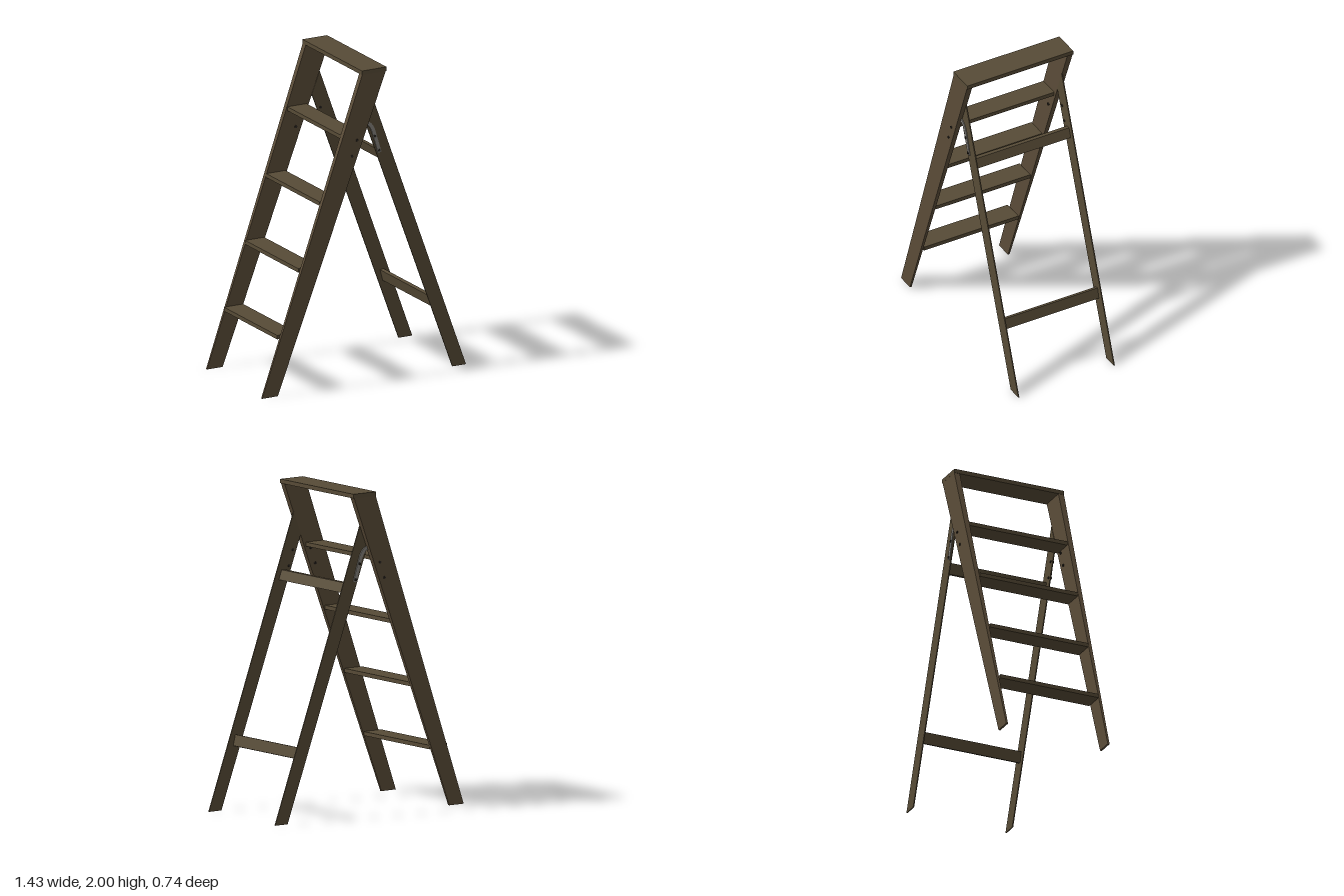
import * as THREE from 'three';

const wood = new THREE.MeshStandardMaterial({ color: 0x5b4c38 });
wood.name = 'brown wood';
const paleWood = new THREE.MeshStandardMaterial({ color: 0x574b36 });
paleWood.name = 'olive wood';
const steel = new THREE.MeshStandardMaterial({ color: 0x85827c });
steel.name = 'grey steel';
const iron = new THREE.MeshStandardMaterial({ color: 0x2c2721 });
iron.name = 'dark iron';

// Board with an outline in x-y, spanning z from near(y) to far(y)
function board(name, points, near, far, material) {
  const shape = new THREE.Shape(points.map(([x, y]) => new THREE.Vector2(x, y)));
  const g = new THREE.ExtrudeGeometry(shape, { depth: 1, bevelEnabled: false });
  const p = g.attributes.position;
  for (let i = 0; i < p.count; i++) {
    p.setZ(i, p.getZ(i) < 0.5 ? near(p.getY(i)) : far(p.getY(i)));
  }
  g.computeVertexNormals();
  const mesh = new THREE.Mesh(g, material);
  mesh.name = name;
  return mesh;
}

// Board on one side of the ladder; inner and outer are distances from the middle
function sideBoard(name, points, side, inner, outer, material) {
  return side > 0
    ? board(name, points, inner, outer, material)
    : board(name, points, y => -outer(y), y => -inner(y), material);
}

function box(name, x0, x1, y0, y1, halfZ, material) {
  const mesh = new THREE.Mesh(new THREE.BoxGeometry(x1 - x0, y1 - y0, halfZ * 2), material);
  mesh.position.set((x0 + x1) / 2, (y0 + y1) / 2, 0);
  mesh.name = name;
  return mesh;
}

// Curved strip outline around a centre line
function stripOutline(points, width) {
  const curve = new THREE.CatmullRomCurve3(points.map(([x, y]) => new THREE.Vector3(x, y, 0)));
  const left = [], right = [];
  for (let i = 0; i <= 24; i++) {
    const c = curve.getPoint(i / 24), t = curve.getTangent(i / 24);
    left.push([c.x - t.y * width / 2, c.y + t.x * width / 2]);
    right.unshift([c.x + t.y * width / 2, c.y - t.x * width / 2]);
  }
  return left.concat(right);
}

export function createModel() {
  const ladder = new THREE.Group();
  ladder.name = 'stepladder';

  // Top cap
  ladder.add(box('topCap', -0.033, 0.14, 1.974, 2, 0.372, paleWood));

  // Treads
  for (let i = 0; i < 4; i++) {
    const x = -0.604 + i * 0.148, y = 0.358 + i * 0.405;
    ladder.add(box('tread', x, x + 0.134, y, y + 0.025, 0.332, paleWood));
  }

  const railOutline = [[-0.72, 0], [-0.61, 0], [0.135, 1.975], [-0.03, 1.975]];
  const legOutline = [[0.62, 0], [0.715, 0], [0.066, 1.795], [0.012, 1.652]];
  const hinge = stripOutline(
    [[-0.1, 1.45], [-0.06, 1.56], [-0.02, 1.632], [0.015, 1.652], [0.05, 1.625], [0.078, 1.55], [0.108, 1.45]], 0.024);

  for (const side of [1, -1]) {
    // Front rail, thicker towards the top
    ladder.add(sideBoard('frontRail', railOutline, side,
      y => 0.338 - 0.002 * y, y => 0.35 + 0.011 * y, wood));

    // Thin rear leg butted against the rail
    ladder.add(sideBoard('rearLeg', legOutline, side, () => 0.332, () => 0.339, paleWood));

    // Hinge strap
    ladder.add(sideBoard('hingeStrap', hinge, side, () => 0.3385, () => 0.345, steel));

    // Bolts through the rail and the leg
    for (const [x, y, end] of [[-0.1, 1.462, 0.371], [-0.065, 1.56, 0.372], [0.073, 1.56, 0.35], [0.103, 1.464, 0.35]]) {
      const bolt = new THREE.Mesh(new THREE.CylinderGeometry(0.008, 0.008, end - 0.328, 10), iron);
      bolt.rotation.x = Math.PI / 2;
      bolt.position.set(x, y, side * (end + 0.328) / 2);
      bolt.name = 'hingeBolt';
      ladder.add(bolt);
    }
  }

  // Cross braces between the rear legs
  const braces = [
    ['upperBrace', [[0.155, 1.38], [0.18, 1.385], [0.158, 1.445], [0.133, 1.445]]],
    ['lowerBrace', [[0.508, 0.385], [0.529, 0.392], [0.513, 0.46], [0.49, 0.455]]],
  ];
  for (const [name, outline] of braces) {
    ladder.add(board(name, outline, () => -0.334, () => 0.334, paleWood));
  }

  return ladder;
}
